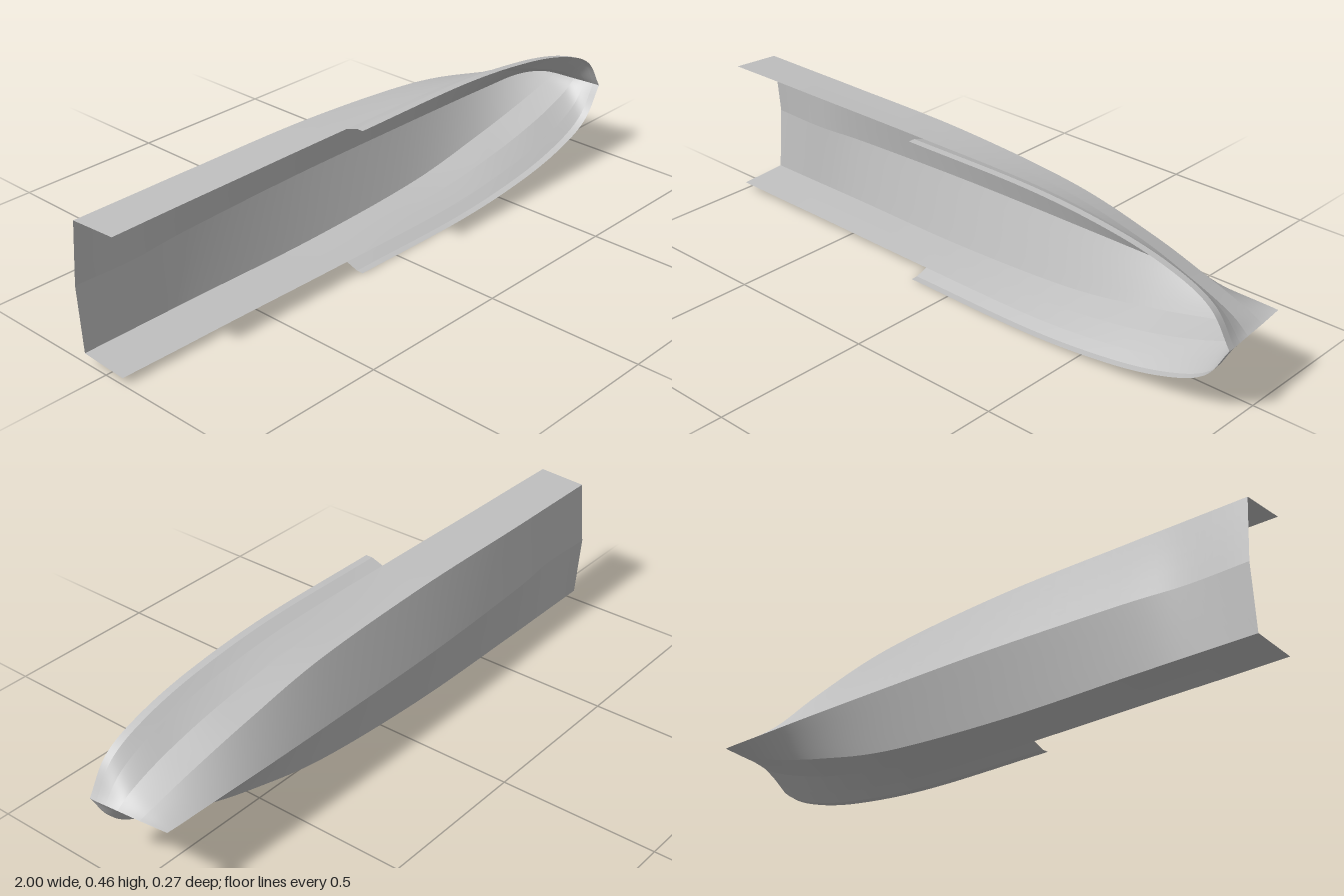
import * as THREE from 'three';

const CENTRE = 0.231; // height of the centreline: the hull lies on its side
const SAMPLES = 72;

// Stations along the hull, stern to bow; each rail ends at its own point on the stem
const X = [-1, -0.8, -0.6, -0.15, 0.3, 0.6, 0.8, 0.93];

function rail(stemX, halfWidths, depths) {
  const pts = [...X, stemX].map((x, i) => new THREE.Vector3(x, halfWidths[i], depths[i]));
  const curve = new THREE.CatmullRomCurve3(pts, false, 'catmullrom', 0.5);
  return curve.getPoints(SAMPLES);
}

// Lengthwise lines of the hull: half widths, then z
const keel = rail(0.975, [0, 0, 0, 0, 0, 0, 0, 0, 0],
  [-0.102, -0.098, -0.116, -0.134, -0.135, -0.133, -0.129, -0.127, -0.125]);
const chine = rail(0.985, [0.201, 0.201, 0.201, 0.2, 0.172, 0.115, 0.062, 0.022, 0],
  [-0.085, -0.085, -0.085, -0.081, -0.072, -0.062, -0.05, -0.042, -0.036]);
const knuckle = rail(0.992, [0.206, 0.207, 0.207, 0.208, 0.193, 0.147, 0.092, 0.042, 0],
  [0, 0, 0, 0, 0.007, 0.019, 0.031, 0.036, 0.04]);
const sheer = rail(0.996, [0.21, 0.212, 0.213, 0.216, 0.213, 0.181, 0.134, 0.074, 0],
  [0.07, 0.07, 0.07, 0.072, 0.074, 0.077, 0.08, 0.081, 0.082]);
const lip = rail(0.999, [0.23, 0.23, 0.23, 0.23, 0.23, 0.204, 0.161, 0.1, 0],
  [0.112, 0.112, 0.112, 0.112, 0.112, 0.112, 0.112, 0.112, 0.112]);
const rim = rail(1, [0.23, 0.23, 0.23, 0.23, 0.23, 0.205, 0.163, 0.103, 0],
  [0.135, 0.135, 0.135, 0.135, 0.135, 0.135, 0.135, 0.135, 0.135]);

// Surface between two rails on one side of the centreline
function strip(a, b, side, start = 0) {
  const rows = 4, pos = [], idx = [], p = new THREE.Vector3();
  for (let i = start; i <= SAMPLES; i++) {
    for (let j = 0; j <= rows; j++) {
      p.lerpVectors(a[i], b[i], j / rows);
      pos.push(p.x, CENTRE + side * p.y, p.z);
    }
  }
  const w = rows + 1;
  for (let i = 0; i < SAMPLES - start; i++) {
    for (let j = 0; j < rows; j++) {
      const q = i * w + j;
      if (side > 0) idx.push(q, q + 1, q + w, q + 1, q + w + 1, q + w);
      else idx.push(q, q + w, q + 1, q + 1, q + w, q + w + 1);
    }
  }
  const g = new THREE.BufferGeometry();
  g.setAttribute('position', new THREE.Float32BufferAttribute(pos, 3));
  g.setIndex(idx);
  g.computeVertexNormals();
  return g;
}

export function createModel() {
  const model = new THREE.Group();
  model.name = 'boatHull';
  const hullGrey = new THREE.MeshStandardMaterial({ color: 0xc0c0c0, side: THREE.DoubleSide });
  hullGrey.name = 'hullGrey';

  // The raised bulwark begins amidships, at the fourth station
  const bulwarkStart = SAMPLES * 3 / 8;
  const parts = [
    ['bottom', keel, chine, 0],
    ['lowerSide', chine, knuckle, 0],
    ['upperSide', knuckle, sheer, 0],
    ['bulwarkFlare', sheer, lip, bulwarkStart],
    ['bulwarkRim', lip, rim, bulwarkStart],
  ];
  for (const side of [1, -1]) {
    const half = new THREE.Group();
    half.name = side > 0 ? 'upperHalf' : 'lowerHalf';
    for (const [name, a, b, start] of parts) {
      const mesh = new THREE.Mesh(strip(a, b, side, start), hullGrey);
      mesh.name = name;
      half.add(mesh);
    }
    model.add(half);
  }
  return model;
}
